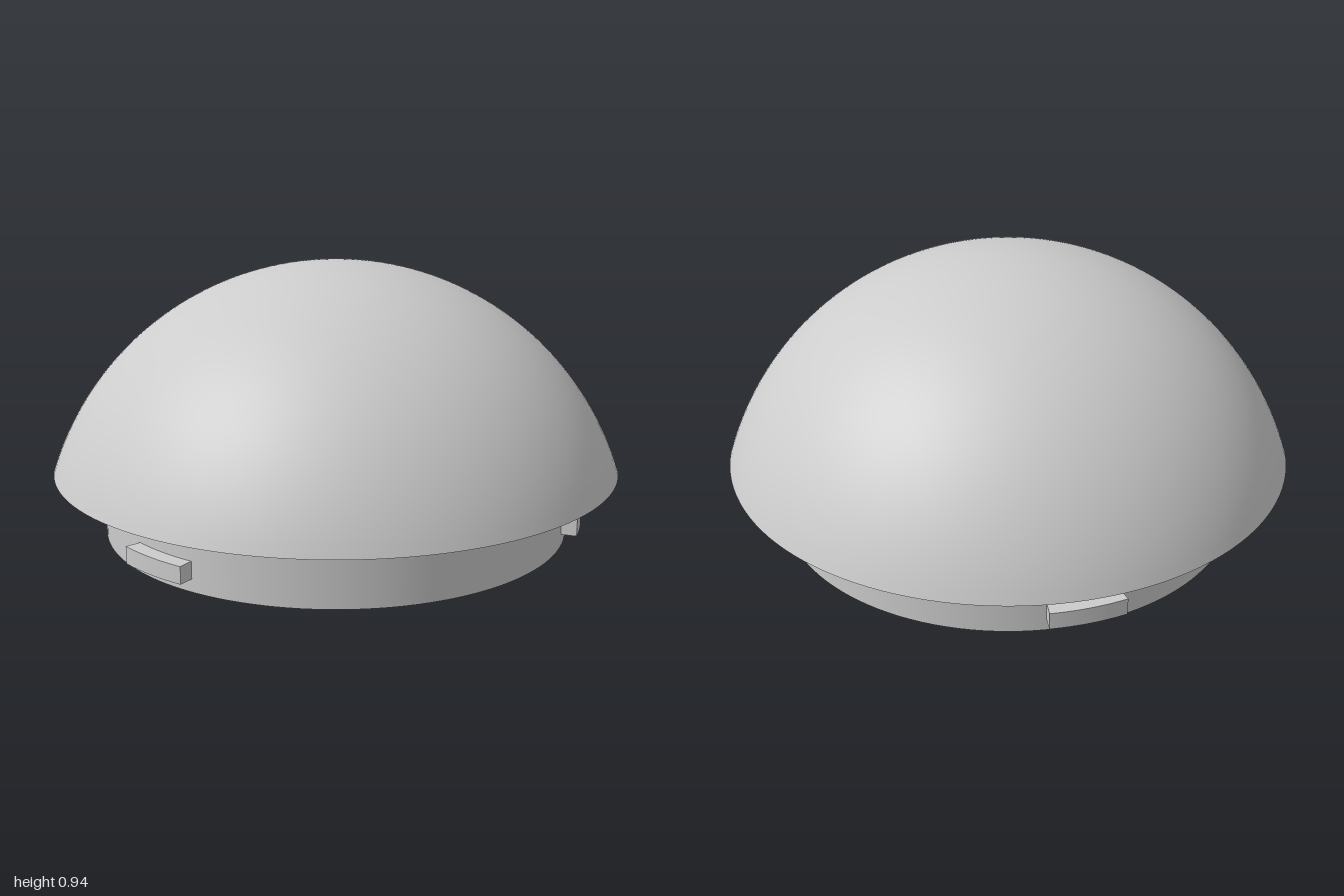
import * as THREE from 'three';

const SEGMENTS = 128;
const CENTRE_Y = -0.112; // shared centre of the outer and inner dome spheres

// Dome arc in the (radius, height) half plane, from angle to angle
function domeArc(radius, from, to, steps = 40) {
  const pts = [];
  for (let i = 0; i <= steps; i++) {
    const a = from + (to - from) * i / steps;
    pts.push(new THREE.Vector2(Math.max(0, radius * Math.cos(a)), CENTRE_Y + radius * Math.sin(a)));
  }
  return pts;
}

export function createModel() {
  const model = new THREE.Group();
  const grey = new THREE.MeshStandardMaterial({ color: 0xcccccc });
  grey.name = 'light grey';

  const add = (name, geometry) => {
    const mesh = new THREE.Mesh(geometry, grey);
    mesh.name = name;
    model.add(mesh);
    return mesh;
  };
  const turned = (name, pts) => add(name, new THREE.LatheGeometry(pts, SEGMENTS));
  // One straight turned face: separate faces keep the edges sharp
  const face = (name, r0, y0, r1, y1) =>
    turned(name, [new THREE.Vector2(r0, y0), new THREE.Vector2(r1, y1)]);

  // Outer dome and the flat underside of its rim
  const rimY = 0.23, rimInner = 0.885;
  const outerR = Math.hypot(1, rimY - CENTRE_Y);
  turned('outerDome', domeArc(outerR, Math.atan2(rimY - CENTRE_Y, 1), Math.PI / 2));
  face('rimUnderside', rimInner, rimY, 1, rimY);

  // Sloped flange that carries the collar, with a flat top inside the shell
  const lipR = 0.704, lipY = 0.293;
  const innerR = Math.hypot(rimInner, rimY - CENTRE_Y);
  const shelfAngle = Math.asin((lipY - CENTRE_Y) / innerR);
  face('flangeUnderside', lipR, lipY, rimInner, rimY);
  face('flangeTop', innerR * Math.cos(shelfAngle), lipY, lipR, lipY);

  // Hollow inside of the dome
  turned('innerDome', domeArc(innerR, Math.PI / 2, shelfAngle));

  // Collar, running up into the flange
  face('collarOuterWall', 0.826, 0, 0.826, 0.252);
  face('collarBottom', 0.758, 0, 0.826, 0);
  face('collarInnerWall', 0.758, 0.275, 0.758, 0);

  // Three curved locking tabs spaced evenly around the collar
  const half = THREE.MathUtils.degToRad(8.6);
  const shape = new THREE.Shape();
  shape.absarc(0, 0, 0.88, -half, half, false);
  shape.absarc(0, 0, 0.815, half, -half, true);
  shape.closePath();
  const tabGeometry = new THREE.ExtrudeGeometry(shape, { depth: 0.06, bevelEnabled: false, curveSegments: 10 });
  tabGeometry.rotateX(-Math.PI / 2);
  for (const degrees of [30, 150, 270]) {
    const tab = add('lockingTab', tabGeometry);
    tab.position.y = 0.044;
    tab.rotation.y = -THREE.MathUtils.degToRad(degrees);
  }
  return model;
}
